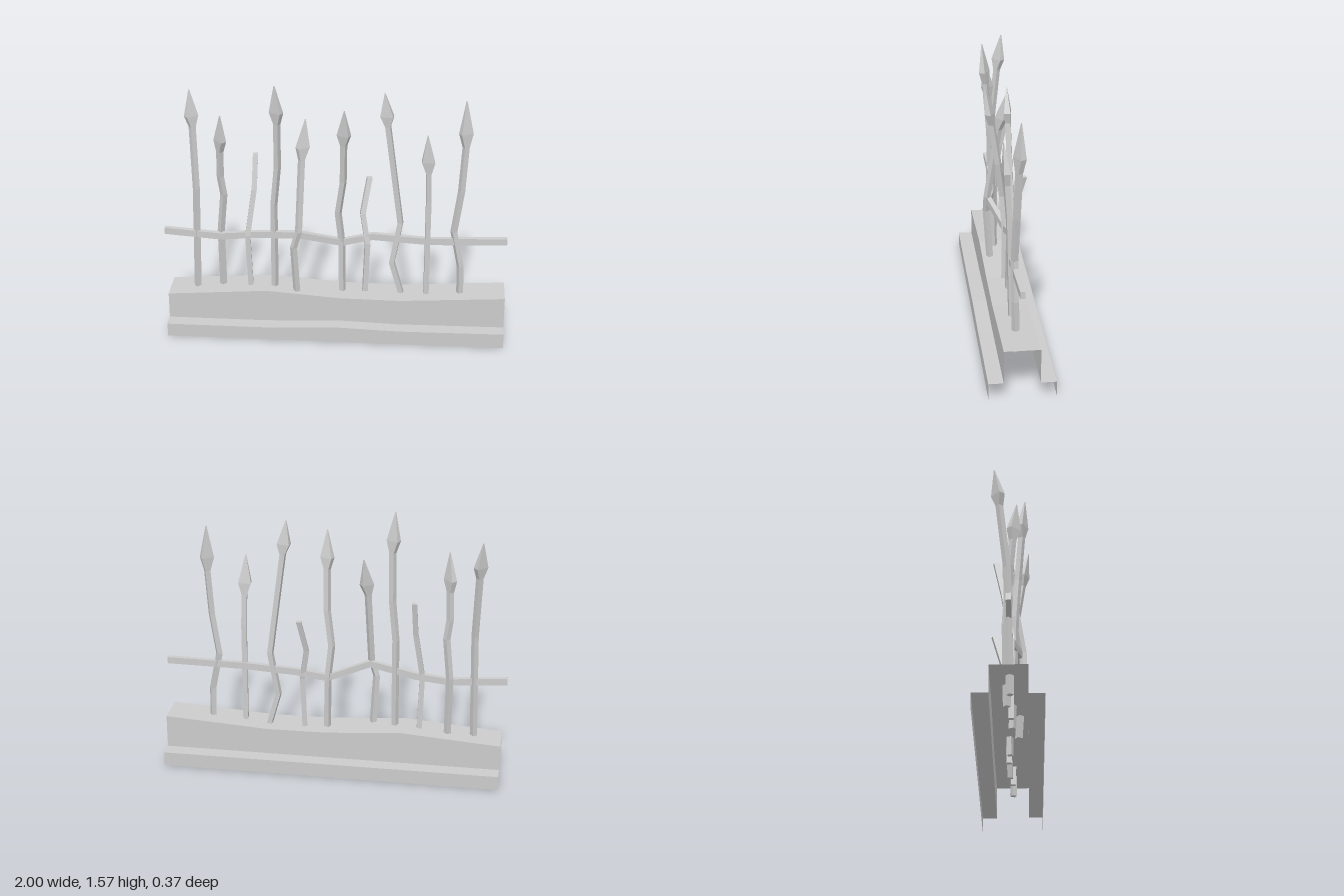
import * as THREE from 'three';

const material = new THREE.MeshStandardMaterial({ color: 0xcccccc, flatShading: true });
const sheetMaterial = new THREE.MeshStandardMaterial({ color: 0xcccccc, flatShading: true, side: THREE.DoubleSide });

// Skin a list of rings (arrays of [x, y, z]); closed rings also get end caps
function loft(rings, closed) {
  const pos = [];
  const quad = (a, b, c, d) => pos.push(...a, ...b, ...c, ...a, ...c, ...d);
  const n = rings[0].length;
  for (let r = 0; r + 1 < rings.length; r++) {
    for (let i = 0; i < (closed ? n : n - 1); i++) {
      const j = (i + 1) % n;
      quad(rings[r][i], rings[r][j], rings[r + 1][j], rings[r + 1][i]);
    }
  }
  if (closed) {
    const [a, b, c, d] = rings[0];
    quad(d, c, b, a);
    quad(...rings[rings.length - 1]);
  }
  const geometry = new THREE.BufferGeometry();
  geometry.setAttribute('position', new THREE.Float32BufferAttribute(pos, 3));
  geometry.computeVertexNormals();
  return geometry;
}

const corners = [[1, -1], [-1, -1], [-1, 1], [1, 1]];
const railY = 0.6;

// Horizontal rectangle around a point, turned by yaw
function barRing([x, y, z], hw, hd, yaw) {
  const c = Math.cos(yaw), s = Math.sin(yaw);
  return corners.map(([u, v]) => [x + u * hw * c + v * hd * s, y, z - u * hw * s + v * hd * c]);
}

// Crooked bar that leans forward or back above the rail; the last bend is the head's tip
function bar({ foot, bends, railZ, tipZ, yaw, broken }) {
  const points = [[foot, 0.14], ...bends];
  const [tipX, tipY] = points[points.length - 1];
  const place = ([x, y]) => {
    const z = y < railY
      ? railZ * (0.5 + 0.5 * (y / railY))
      : railZ + (tipZ - railZ) * ((y - railY) / (tipY - railY)) ** 1.3;
    return [x, y, z];
  };
  const shaft = broken ? points : points.slice(0, -1);
  const rings = shaft.map((p) => barRing(place(p), 0.015, 0.015, yaw));
  if (!broken) {
    const [neckX, neckY] = shaft[shaft.length - 1];
    const widest = [neckX + (tipX - neckX) * 0.3, neckY + (tipY - neckY) * 0.3];
    rings.push(barRing(place(widest), 0.037, 0.018, yaw), barRing(place([tipX, tipY]), 0.002, 0.002, yaw));
  }
  return loft(rings, true);
}

// Bars from right to left; bends are [x, y]
const bars = [
  { foot: -0.82, railZ: 0.01, tipZ: -0.08, yaw: 0.7, bends: [[-0.805, 0.88], [-0.82, 1.25], [-0.835, 1.465]] },
  { foot: -0.665, railZ: -0.02, tipZ: 0.04, yaw: -0.8, bends: [[-0.67, 0.61], [-0.645, 0.85], [-0.66, 0.97], [-0.655, 1.13], [-0.645, 1.36]] },
  { foot: -0.495, railZ: 0.01, tipZ: -0.075, yaw: 0.1, broken: true, bends: [[-0.51, 0.6], [-0.47, 0.88], [-0.463, 1.085]] },
  { foot: -0.355, railZ: 0.02, tipZ: 0.085, yaw: -0.5, bends: [[-0.35, 0.81], [-0.325, 1.05], [-0.32, 1.33], [-0.33, 1.565]] },
  { foot: -0.215, railZ: 0.075, tipZ: -0.045, yaw: 0.6, bends: [[-0.235, 0.56], [-0.205, 0.66], [-0.19, 1.09], [-0.17, 1.32]] },
  { foot: 0.045, railZ: -0.01, tipZ: 0.105, yaw: -0.4, bends: [[0.04, 0.57], [0.02, 0.76], [0.05, 0.97], [0.055, 1.21], [0.06, 1.435]] },
  { foot: 0.175, railZ: -0.02, tipZ: -0.1, yaw: 0.2, broken: true, bends: [[0.19, 0.555], [0.16, 0.74], [0.195, 0.945]] },
  { foot: 0.42, railZ: -0.015, tipZ: 0.008, yaw: -0.15, bends: [[0.335, 0.44], [0.38, 0.7], [0.3, 1.31], [0.28, 1.51]] },
  { foot: 0.54, railZ: 0.01, tipZ: 0.05, yaw: 0.1, bends: [[0.54, 0.86], [0.535, 1.04], [0.525, 1.28]] },
  { foot: 0.74, railZ: 0.01, tipZ: -0.02, yaw: 0.5, bends: [[0.735, 0.44], [0.69, 0.665], [0.725, 0.92], [0.74, 1.19], [0.735, 1.465]] },
];

// Wavy rail centre line
const railPath = [[-1, 0.61, 0], [-0.67, 0.585, 0], [-0.47, 0.605, 0.005], [-0.2, 0.64, 0.06],
  [0.04, 0.565, -0.01], [0.22, 0.6, -0.03], [0.55, 0.6, 0.01], [1, 0.61, 0]];

// Base sections: x, top height, front ledge height
const baseSections = [[-0.98, 0.238, 0.08], [-0.4, 0.28, 0.08], [0.04, 0.248, 0.097], [0.39, 0.245, 0.086], [1, 0.283, 0.092]];

export function createModel() {
  const group = new THREE.Group();
  const add = (name, geometry, mat = material) => {
    const mesh = new THREE.Mesh(geometry, mat);
    mesh.name = name;
    group.add(mesh);
  };

  // Stepped wall, hollow and open at the ends and underneath
  add('baseWall', loft(baseSections.map(([x, top, ledge]) => [
    [x, 0, -0.187], [x, 0.085, -0.187], [x, 0.085, -0.1], [x, top, -0.1],
    [x, top, 0.1], [x, ledge, 0.1], [x, ledge, 0.183], [x, 0, 0.183],
  ]), false), sheetMaterial);

  // Rail running through the bars
  add('rail', loft(railPath.map(([x, y, z]) =>
    corners.map(([u, v]) => [x, y + u * 0.02, z + v * 0.014]).reverse()), true));

  // Crooked bars, eight with spear heads and two broken off
  bars.forEach((b, i) => add((b.broken ? 'brokenBar' : 'spearBar') + (i + 1), bar(b)));
  return group;
}
